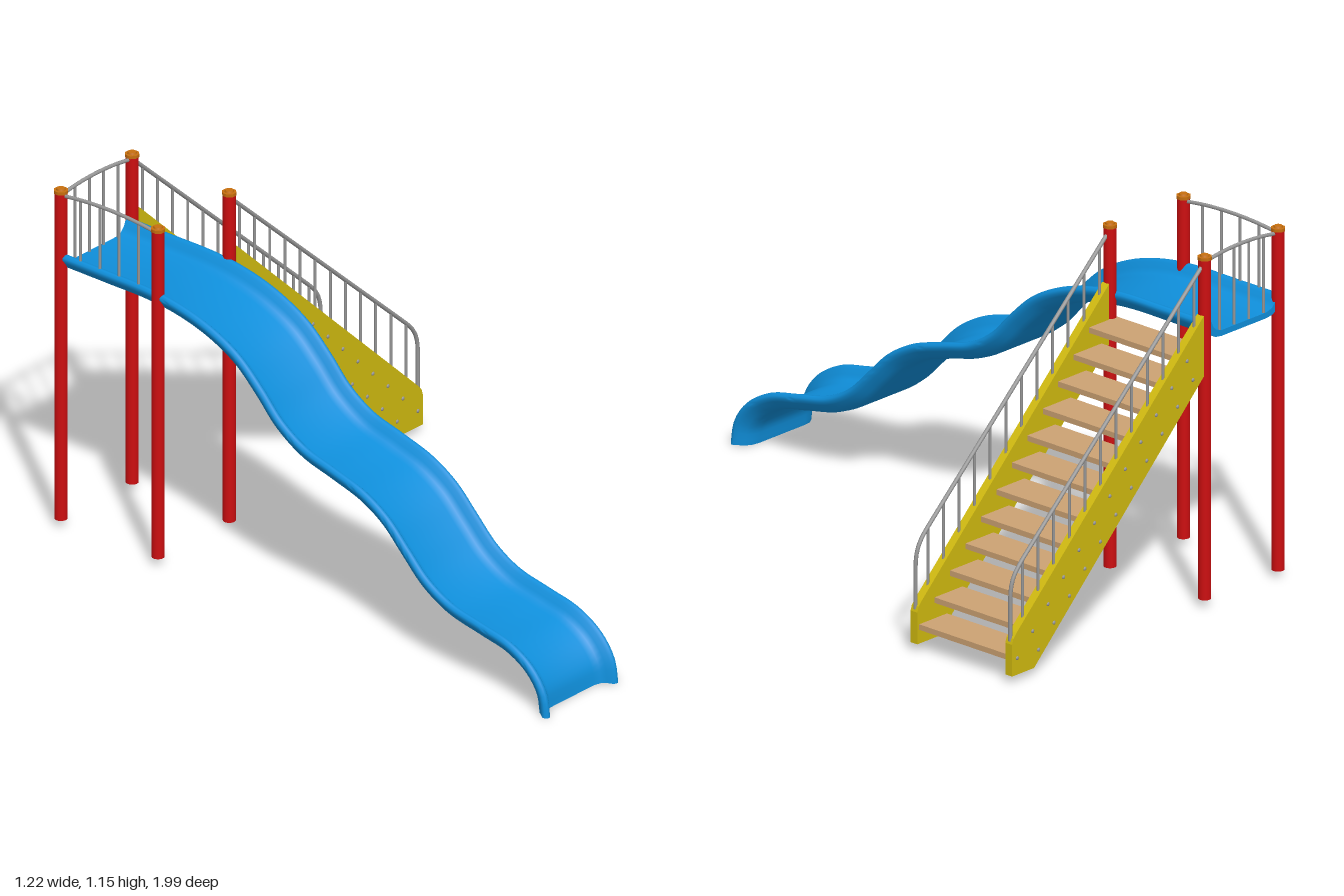
import * as THREE from 'three';
import { toCreasedNormals } from 'three/addons/utils/BufferGeometryUtils.js';

const mat = (name, color) => {
  const m = new THREE.MeshStandardMaterial({ color });
  m.name = name;
  return m;
};

const POST_X = [-0.592, -0.265];
const POST_Z = [-0.97, -0.578];
const V = (x, y, z) => new THREE.Vector3(x, y, z);

// Slide: a shallow trough with rolled rims, lofted along a wavy path
function slideGeometry() {
  const path = new THREE.CatmullRomCurve3([
    [-0.975, 0.893], [-0.8, 0.893], [-0.62, 0.892], [-0.5, 0.878], [-0.38, 0.845],
    [-0.27, 0.79], [-0.18, 0.71], [-0.1, 0.627], [0, 0.565], [0.12, 0.53],
    [0.24, 0.493], [0.33, 0.44], [0.41, 0.362], [0.49, 0.285], [0.59, 0.23],
    [0.72, 0.2], [0.83, 0.175], [0.91, 0.128], [0.957, 0.065], [0.969, 0],
  ].map(([z, y]) => V(0, y, z)));

  // right half of the cross-section, from the underside round to the floor
  const half = [
    [0.1, -0.032], [0.128, -0.028], [0.148, -0.015], [0.161, 0.004], [0.169, 0.015],
    [0.168, 0.024], [0.161, 0.031], [0.152, 0.031], [0.144, 0.024], [0.137, 0.008],
    [0.124, -0.006], [0.1, -0.013],
  ];
  const ring = [...half, ...half.map(([u, v]) => [-u, v]).reverse()]
    .map(([u, v]) => new THREE.Vector2(u, v));

  const steps = 110, n = ring.length, pos = [], idx = [];
  for (let i = 0; i <= steps; i++) {
    const p = path.getPointAt(i / steps);
    const t = path.getTangentAt(i / steps);
    if (i === steps) t.set(0, -1, 0);
    if (i === 0) t.set(0, 0, 1);
    for (const r of ring) pos.push(-0.435 + r.x, p.y + r.y * t.z, p.z - r.y * t.y);
  }
  for (let i = 0; i < steps; i++) {
    for (let j = 0; j < n; j++) {
      const a = i * n + j, b = i * n + (j + 1) % n;
      idx.push(a, b, b + n, a, b + n, a + n);
    }
  }
  for (const [a, b, c] of THREE.ShapeUtils.triangulateShape(ring, [])) {
    const e = steps * n;
    idx.push(c, b, a, e + a, e + b, e + c);
  }
  const g = new THREE.BufferGeometry();
  g.setAttribute('position', new THREE.Float32BufferAttribute(pos, 3));
  g.setIndex(idx);
  return toCreasedNormals(g, 0.9);
}

export function createModel() {
  const red = mat('post red', 0xcc0e10);
  const blue = mat('slide blue', 0x0f8fdb);
  const yellow = mat('stringer yellow', 0xcfb90f);
  const tan = mat('tread tan', 0xcca273);
  const grey = mat('rail grey', 0x979797);
  const orange = mat('cap orange', 0xc8700f);

  const model = new THREE.Group();
  model.name = 'playgroundSlide';
  const add = (name, geo, material, x = 0, y = 0, z = 0, parent = model) => {
    const m = new THREE.Mesh(geo, material);
    m.name = name;
    m.position.set(x, y, z);
    parent.add(m);
    return m;
  };
  const group = (name) => {
    const g = new THREE.Group();
    g.name = name;
    model.add(g);
    return g;
  };
  // Upright bar between two heights
  const bar = (parent, x, z, y0, y1) =>
    add('baluster', new THREE.CylinderGeometry(0.0045, 0.0045, y1 - y0, 8), grey, x, (y0 + y1) / 2, z, parent);

  add('slide', slideGeometry(), blue);

  // Four posts with eight-sided caps
  for (const x of POST_X) for (const z of POST_Z) {
    add('post', new THREE.CylinderGeometry(0.02, 0.02, 1.107, 20), red, x, 0.5785, z);
    const cap = add('postCap', new THREE.CylinderGeometry(0.023, 0.023, 0.01, 8), orange, x, 1.135, z);
    cap.rotation.y = Math.PI / 8;
    add('capTop', new THREE.CylinderGeometry(0.013, 0.015, 0.006, 8), orange, x, 1.143, z);
  }

  // Arched guard rails at the back and on the outer side of the platform
  const guard = (name, a, b, base) => {
    const g = group(name);
    const rise = (t) => 1.121 + 0.056 * t * (1 - t);
    const at = (t) => a.clone().lerp(b, t).setY(rise(t));
    const curve = new THREE.CatmullRomCurve3([0, 0.25, 0.5, 0.75, 1].map(at));
    add('guardRail', new THREE.TubeGeometry(curve, 20, 0.006, 8), grey, 0, 0, 0, g);
    for (let i = 1; i <= 4; i++) {
      const p = at(i / 5);
      bar(g, p.x, p.z, base, p.y);
    }
  };
  guard('backGuard', V(POST_X[0], 0, POST_Z[0]), V(POST_X[1], 0, POST_Z[0]), 0.865);
  guard('sideGuard', V(POST_X[0], 0, POST_Z[0]), V(POST_X[0], 0, POST_Z[1]), 0.91);

  // Stair treads
  const COUNT = 12, DX = 0.0688, DY = 0.0681;
  const treads = group('treads');
  for (let k = 0; k < COUNT; k++) {
    add('tread', new THREE.BoxGeometry(0.124, 0.018, 0.37), tan,
      -0.219 + k * DX, 0.828 - k * DY, (POST_Z[0] + POST_Z[1]) / 2, treads);
  }

  // Stair sides: stringer, bolts, handrail and balusters
  const outline = new THREE.Shape([
    [-0.246, 0.756], [0.51, 0.025], [0.608, 0.025], [0.608, 0.128],
    [0.602, 0.146], [0.588, 0.162], [-0.246, 0.953],
  ].map(([x, y]) => new THREE.Vector2(x, y)));
  const THICK = 0.028;
  const boltGeo = new THREE.SphereGeometry(0.0065, 10, 6);

  POST_Z.forEach((z, side) => {
    const g = group(side ? 'frontStairSide' : 'backStairSide');
    const out = side ? 1 : -1;
    add('stringer', new THREE.ExtrudeGeometry(outline, { depth: THICK, bevelEnabled: false }),
      yellow, 0, 0, z - THICK / 2, g);

    for (let k = 0; k < COUNT; k++) for (const s of [-1, 1]) {
      const x = -0.219 + k * DX + s * 0.0475;
      if (x < -0.24) continue;
      add('bolt', boltGeo, grey, x, 0.828 - k * DY, z + out * THICK / 2, g).scale.z = 0.6;
    }

    const rail = new THREE.CurvePath();
    rail.add(new THREE.LineCurve3(V(-0.255, 1.112, z), V(0.535, 0.397, z)));
    rail.add(new THREE.CubicBezierCurve3(
      V(0.535, 0.397, z), V(0.58, 0.356, z), V(0.6, 0.335, z), V(0.601, 0.27, z)));
    rail.add(new THREE.LineCurve3(V(0.601, 0.27, z), V(0.601, 0.135, z)));
    add('handrail', new THREE.TubeGeometry(rail, 60, 0.0065, 8), grey, 0, 0, 0, g);

    for (let k = 0; k < COUNT; k++) {
      const x = -0.218 + k * 0.0695;
      const top = 1.112 - (x + 0.255) * 0.905 - (x > 0.54 ? 0.004 : 0);
      const base = 0.945 - (x + 0.246) * 0.948;
      bar(g, x, z, base - 0.015, top);
    }
  });

  return model;
}
